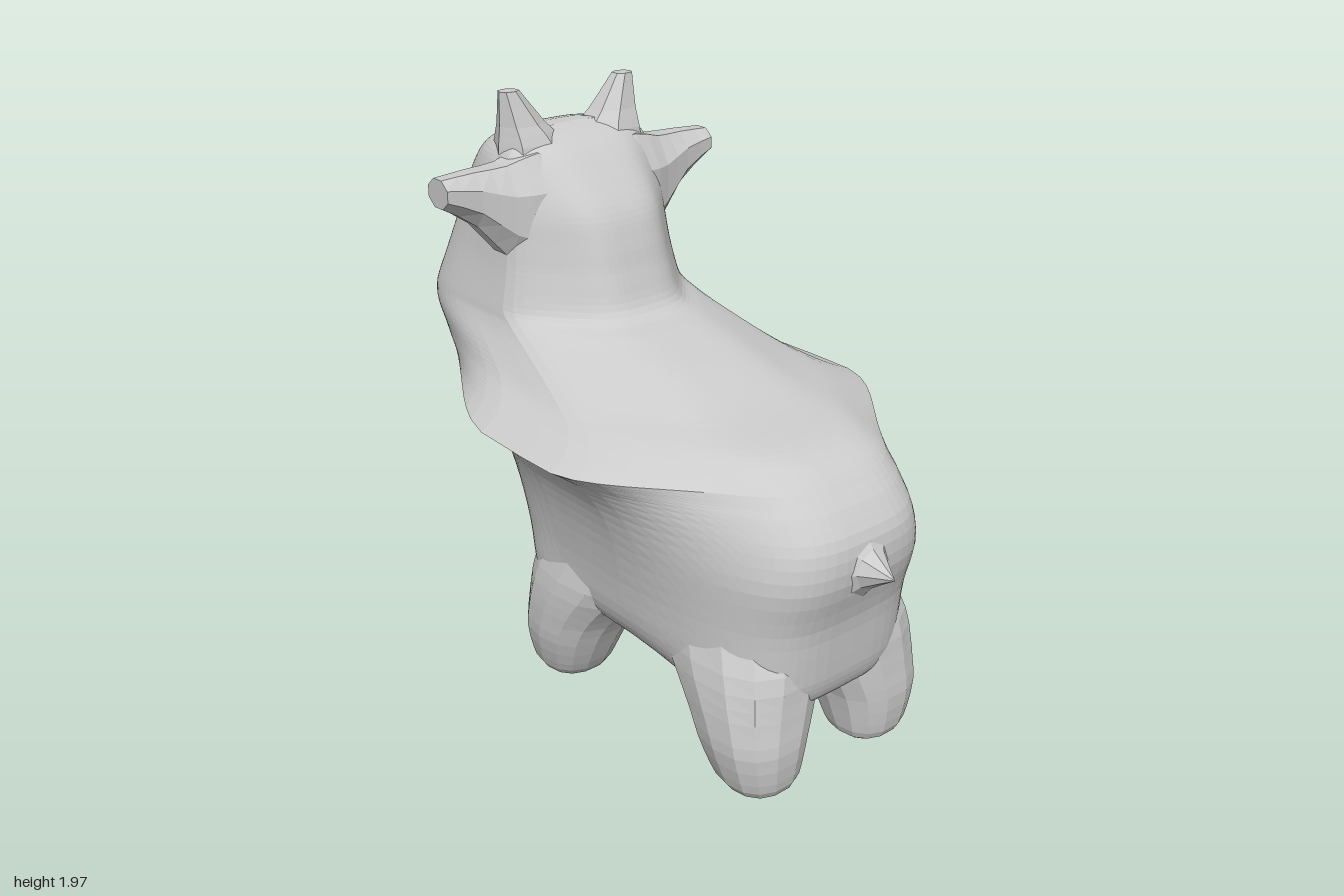
import * as THREE from 'three';

const material = new THREE.MeshStandardMaterial({ color: 0xcccccc, flatShading: true });
const { lerp, smoothstep } = THREE.MathUtils;

// Skin a list of closed rings, cap both ends and make the faces point outward
function loft(name, rings) {
  const n = rings[0].length, pts = rings.flat(), idx = [];
  for (let i = 0; i < rings.length - 1; i++) {
    for (let j = 0; j < n; j++) {
      const a = i * n + j, b = i * n + (j + 1) % n;
      idx.push(a, b, a + n, b, b + n, a + n);
    }
  }
  const last = rings.length - 1;
  const middle = (ring) => ring.reduce((s, p) => s.add(p), new THREE.Vector3()).divideScalar(n);
  pts.push(middle(rings[0]), middle(rings[last]));
  for (let j = 0; j < n; j++) {
    const k = (j + 1) % n;
    idx.push(k, j, pts.length - 2, last * n + j, last * n + k, pts.length - 1);
  }
  let volume = 0;
  const cross = new THREE.Vector3();
  for (let i = 0; i < idx.length; i += 3) {
    volume += pts[idx[i]].dot(cross.crossVectors(pts[idx[i + 1]], pts[idx[i + 2]]));
  }
  if (volume < 0) idx.reverse();
  const geometry = new THREE.BufferGeometry().setFromPoints(pts);
  geometry.setIndex(idx);
  geometry.computeVertexNormals();
  const mesh = new THREE.Mesh(geometry, material);
  mesh.name = name;
  return mesh;
}

// Smoothly subdivide rows of numbers, column by column
function refine(rows, steps) {
  const out = [];
  const at = (i) => rows[Math.min(Math.max(i, 0), rows.length - 1)];
  for (let i = 0; i < rows.length - 1; i++) {
    for (let s = 0; s < steps; s++) {
      const t = s / steps;
      out.push(rows[i].map((b, c) => {
        const a = at(i - 1)[c], d = at(i + 1)[c], e = at(i + 2)[c];
        return b + 0.5 * t * (d - a + t * (2 * a - 5 * b + 4 * d - e + t * (3 * (b - d) + e - a)));
      }));
    }
  }
  out.push(rows[rows.length - 1]);
  return out;
}

// Horizontal body slice: superellipse whose width changes from tail end to muzzle
function bodySlice([y, zTail, zHead, wTail, wMid, wHead]) {
  const ring = [], n = 80;
  const zMid = lerp(0.05, -0.5, smoothstep(y, 1.02, 1.3));
  const tailPower = lerp(0.55, 0.64, smoothstep(y, 0.75, 1.02));
  for (let j = 0; j < n; j++) {
    const a = (j / n) * Math.PI * 2, c = Math.cos(a), s = Math.sin(a);
    const power = c > 0 ? tailPower : 0.56;
    const u = Math.abs(c) ** power;
    const w = lerp(wMid, c > 0 ? wTail : wHead, smoothstep(u, 0.17, 0.9));
    const x = Math.sign(s) * Math.abs(s) ** power * w;
    let z = lerp(zMid, c > 0 ? zTail : zHead, u);
    // shallow dent in the middle of the muzzle
    if (c < -0.5) z += 0.03 * Math.exp(-((x / 0.1) ** 2)) * Math.exp(-(((y - 1.17) / 0.12) ** 2));
    ring.push(new THREE.Vector3(x, y, z));
  }
  return ring;
}

// Slightly squared horizontal oval for legs and horns: y, centre x, centre z, radius x, radius z
function oval([y, cx, cz, rx, rz], n, side) {
  const soft = (v) => Math.sign(v) * Math.abs(v) ** 0.85;
  return Array.from({ length: n }, (_, j) => {
    const a = (j / n) * Math.PI * 2;
    return new THREE.Vector3(side * (cx + rx * soft(Math.cos(a))), y, cz + rz * soft(Math.sin(a)));
  });
}

export function createModel() {
  const model = new THREE.Group();

  // Rows: y, z at tail, z at head, half widths at tail, middle and head
  const lower = [
    [0.265, 0.64, -0.14, 0.20, 0.10, 0.20],
    [0.285, 0.75, -0.26, 0.34, 0.18, 0.34],
    [0.32, 0.81, -0.32, 0.38, 0.28, 0.39],
    [0.38, 0.835, -0.345, 0.40, 0.36, 0.425],
    [0.46, 0.845, -0.36, 0.405, 0.40, 0.435],
    [0.60, 0.86, -0.39, 0.405, 0.42, 0.435],
    [0.75, 0.90, -0.45, 0.40, 0.45, 0.44],
    [0.87, 0.895, -0.49, 0.39, 0.49, 0.46],
    [0.95, 0.85, -0.55, 0.385, 0.54, 0.47],
    [0.985, 0.82, -0.63, 0.38, 0.58, 0.47],
    [1.0, 0.805, -0.82, 0.38, 0.60, 0.43],
    [1.02, 0.785, -0.89, 0.38, 0.63, 0.42],
  ];
  const upper = [
    [1.02, 0.785, -0.89, 0.38, 0.63, 0.42],
    [1.05, 0.745, -0.93, 0.36, 0.56, 0.405],
    [1.09, 0.65, -0.96, 0.33, 0.49, 0.40],
    [1.13, 0.42, -0.98, 0.32, 0.445, 0.395],
    [1.20, 0.18, -1.00, 0.29, 0.395, 0.39],
    [1.25, 0.00, -0.995, 0.27, 0.37, 0.38],
    [1.29, -0.11, -0.98, 0.25, 0.36, 0.37],
    [1.40, -0.16, -0.93, 0.23, 0.335, 0.345],
    [1.50, -0.19, -0.89, 0.22, 0.32, 0.32],
    [1.60, -0.23, -0.84, 0.22, 0.31, 0.30],
    [1.70, -0.31, -0.80, 0.22, 0.30, 0.28],
    [1.78, -0.39, -0.74, 0.21, 0.27, 0.25],
    [1.82, -0.46, -0.67, 0.17, 0.21, 0.18],
    [1.84, -0.52, -0.58, 0.08, 0.10, 0.08],
  ];
  const rows = [...refine(lower, 3), ...refine(upper, 5).slice(1)];
  model.add(loft('bodyAndHead', rows.map(bodySlice)));

  // Legs taper away inside the body so they blend into its sides
  const leg = refine([
    [0.005, 0.225, 0.70, 0.05, 0.05],
    [0.04, 0.235, 0.70, 0.11, 0.11],
    [0.10, 0.24, 0.69, 0.135, 0.14],
    [0.20, 0.24, 0.67, 0.16, 0.17],
    [0.28, 0.225, 0.645, 0.18, 0.19],
    [0.36, 0.21, 0.61, 0.195, 0.22],
    [0.46, 0.19, 0.56, 0.205, 0.26],
    [0.60, 0.16, 0.50, 0.20, 0.26],
  ], 2);
  const ear = refine([[0.05, 1.58, -0.47, 0.20, 0.11], [0.20, 1.59, -0.47, 0.21, 0.13],
    [0.31, 1.605, -0.475, 0.165, 0.10], [0.42, 1.665, -0.48, 0.095, 0.075], [0.54, 1.70, -0.48, 0.05, 0.06]], 2);
  const horn = refine([[1.70, 0.16, -0.53, 0.12, 0.12], [1.80, 0.165, -0.53, 0.11, 0.10],
    [1.86, 0.188, -0.53, 0.08, 0.07], [1.97, 0.23, -0.53, 0.035, 0.03]], 2);

  for (const side of [1, -1]) {
    const label = side > 0 ? 'left' : 'right';
    model.add(loft(label + 'TailEndLeg', leg.map((r) => oval(r, 14, side))));
    // head-end legs mirror the tail-end ones about the middle of the belly, set slightly wider
    model.add(loft(label + 'HeadEndLeg', leg.map(([y, x, z, rx, rz]) => oval([y, x + 0.035, 0.49 - z, rx, rz], 14, side))));
    model.add(loft(label + 'Horn', horn.map((r) => oval(r, 7, side))));
    // ears: x, centre y, centre z, radius y, radius z
    model.add(loft(label + 'Ear', ear.map(([x, cy, cz, ry, rz]) => Array.from({ length: 8 }, (_, j) => {
      const a = ((j + 0.5) / 8) * Math.PI * 2;
      return new THREE.Vector3(side * x, cy + ry * Math.sin(a), cz + rz * Math.cos(a));
    }))));
  }

  // Tail stub: a flared point
  const tailProfile = [[0.12, 0.02], [0.065, 0.06], [0.035, 0.10], [0, 0.15]].map(([r, h]) => new THREE.Vector2(r, h));
  const tail = new THREE.Mesh(new THREE.LatheGeometry(tailProfile, 8), material);
  tail.name = 'tail';
  tail.rotation.x = Math.PI / 2;
  tail.position.set(0, 0.78, 0.85);
  model.add(tail);

  // Small spur on the left edge of the back
  const spur = new THREE.Mesh(new THREE.ConeGeometry(0.035, 0.1, 4), material);
  spur.name = 'spur';
  spur.rotation.z = -Math.PI / 2;
  spur.position.set(0.56, 1.02, -0.38);
  model.add(spur);

  return model;
}
